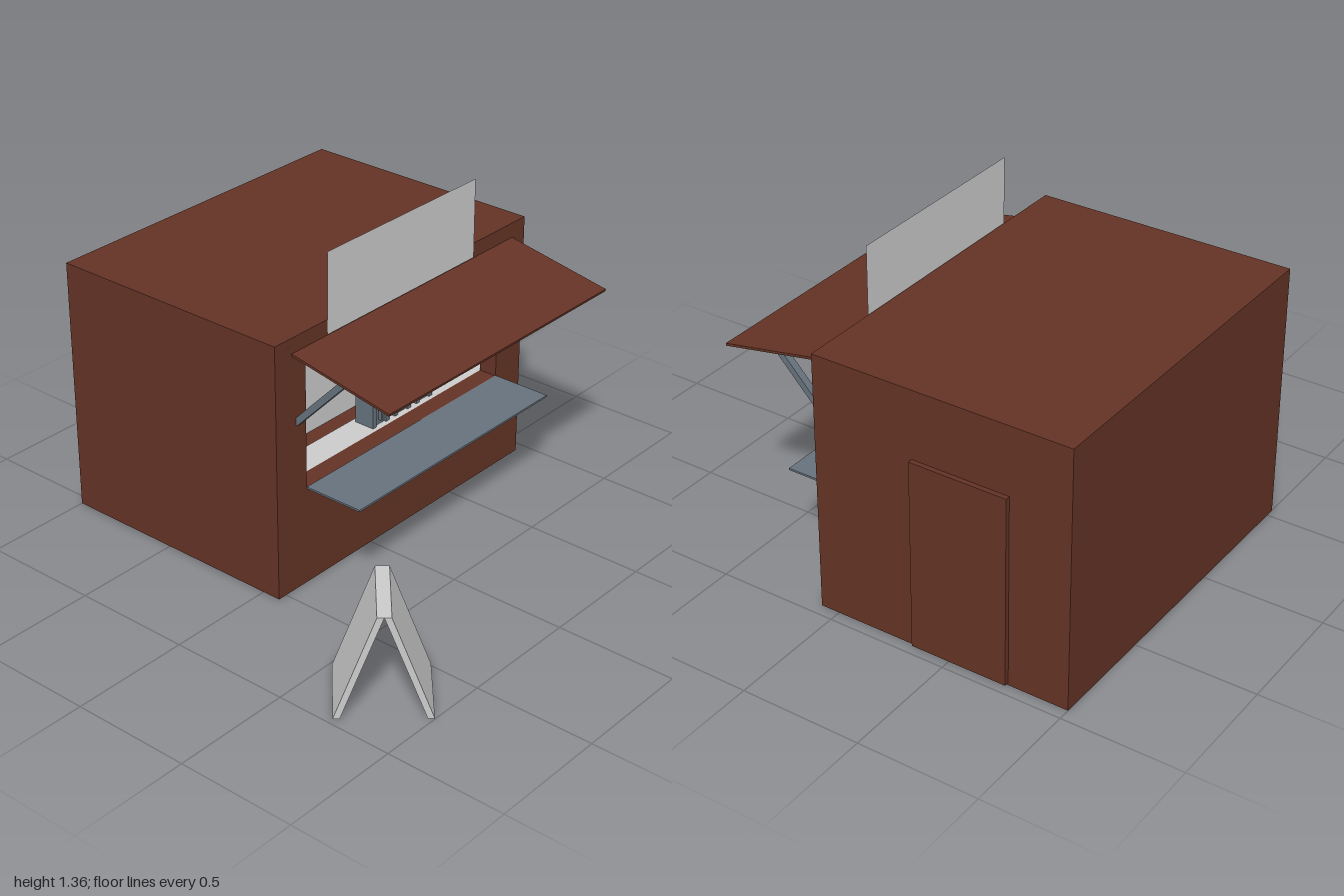
import * as THREE from 'three';

const material = (color) => new THREE.MeshStandardMaterial({ color, side: THREE.DoubleSide });

export function createModel() {
  const model = new THREE.Group();
  const brown = material(0x643325);
  const steel = material(0x66727c);
  const grey = material(0xcccccc);
  const glass = material(0xa6d8ec);

  const add = (name, geometry, mat, parent = model) => {
    const mesh = new THREE.Mesh(geometry, mat);
    mesh.name = name;
    parent.add(mesh);
    return mesh;
  };
  // Box given by its lower and upper corners
  const box = (name, mat, [x0, y0, z0], [x1, y1, z1], parent) => {
    const mesh = add(name, new THREE.BoxGeometry(x1 - x0, y1 - y0, z1 - z0), mat, parent);
    mesh.position.set((x0 + x1) / 2, (y0 + y1) / 2, (z0 + z1) / 2);
    return mesh;
  };
  const polygon = (points, Type = THREE.Shape) => new Type(points.map(([x, y]) => new THREE.Vector2(x, y)));
  // Thin bar in the y-z plane, running between two points
  const bar = (name, mat, x, [y0, z0], [y1, z1], width, thickness) => {
    const mesh = add(name, new THREE.BoxGeometry(width, thickness, Math.hypot(y1 - y0, z1 - z0)), mat);
    mesh.position.set(x, (y0 + y1) / 2, (z0 + z1) / 2);
    mesh.rotation.x = -Math.atan2(y1 - y0, z1 - z0);
  };

  // Kiosk shell, with a serving hatch cut in the front wall
  const front = polygon([[-0.54, 0], [0.95, 0], [0.95, 1.08], [-0.54, 1.08]]);
  front.holes.push(polygon([[-0.375, 0.42], [-0.375, 0.97], [0.79, 0.97], [0.79, 0.42]], THREE.Path));
  add('frontWall', new THREE.ExtrudeGeometry(front, { depth: 0.08, bevelEnabled: false }), brown);
  box('backWall', brown, [-0.54, 0, -1], [0.95, 1.08, -0.96]);
  box('leftWall', brown, [0.91, 0, -0.96], [0.95, 1.08, 0]);
  box('rightWall', brown, [-0.54, 0, -0.96], [-0.5, 1.08, 0]);
  box('roof', brown, [-0.5, 1.04, -0.96], [0.91, 1.08, 0]);
  box('floor', brown, [-0.5, 0, -0.96], [0.91, 0.03, 0]);
  box('door', brown, [0.95, 0.01, -0.75], [0.97, 0.8, -0.345]);

  // Serving shelf, awning with struts, and the board above
  box('servingShelf', steel, [-0.375, 0.415, 0.08], [0.79, 0.423, 0.34]);
  bar('awning', brown, 0.21, [1.012, 0.08], [0.928, 0.54], 1.32, 0.01);
  for (const x of [-0.415, 0.835]) bar('awningStrut', steel, x, [0.72, 0.075], [0.96, 0.305], 0.03, 0.026);
  add('signBoard', new THREE.PlaneGeometry(0.87, 0.335), grey).position.set(0.18, 1.188, 0.084);

  // Furniture inside
  box('innerCounter', grey, [-0.5, 0.38, -0.13], [0.91, 0.418, 0]);
  box('backCounter', grey, [-0.17, 0.03, -0.96], [0.91, 0.4, -0.65]);
  const fridge = new THREE.Group();
  fridge.name = 'fridge';
  model.add(fridge);
  box('fridgeBody', grey, [-0.5, 0.03, -0.96], [-0.17, 0.71, -0.7], fridge);
  box('fridgeDoor', glass, [-0.48, 0.06, -0.7], [-0.19, 0.685, -0.69], fridge);

  // Row of drink dispensers on the inner counter
  for (const x of [0.18, 0.315, 0.45]) {
    const dispenser = new THREE.Group();
    dispenser.name = 'dispenser';
    dispenser.position.set(x, 0.418, -0.065);
    model.add(dispenser);
    box('dispenserBody', steel, [-0.03, 0, -0.035], [0.03, 0.15, 0.035], dispenser);
    for (const s of [-1, 1]) {
      box('dispenserSide', steel, [s * 0.04 - 0.01, 0, -0.045], [s * 0.04 + 0.01, 0.15, 0.045], dispenser);
    }
    const knob = add('dispenserKnob', new THREE.CylinderGeometry(0.024, 0.024, 0.13, 16), steel, dispenser);
    knob.rotation.x = Math.PI / 2;
    knob.position.y = 0.105;
    box('dispenserSpout', steel, [-0.005, 0.02, 0.035], [0.005, 0.085, 0.05], dispenser);
  }

  // Folding pavement board: two leaning panels meeting at the top
  const stand = new THREE.Group();
  stand.name = 'pavementBoard';
  stand.position.set(-0.733, 0, 0.753);
  stand.rotation.y = 2.29;
  model.add(stand);
  for (const s of [-1, 1]) {
    const profile = polygon([[s * 0.155, 0], [s * 0.18, 0], [s * 0.026, 0.425], [0, 0.425]]);
    const panel = new THREE.ExtrudeGeometry(profile, { depth: 0.33, bevelEnabled: false });
    add('boardPanel', panel.translate(0, 0, -0.165), grey, stand);
  }
  return model;
}
